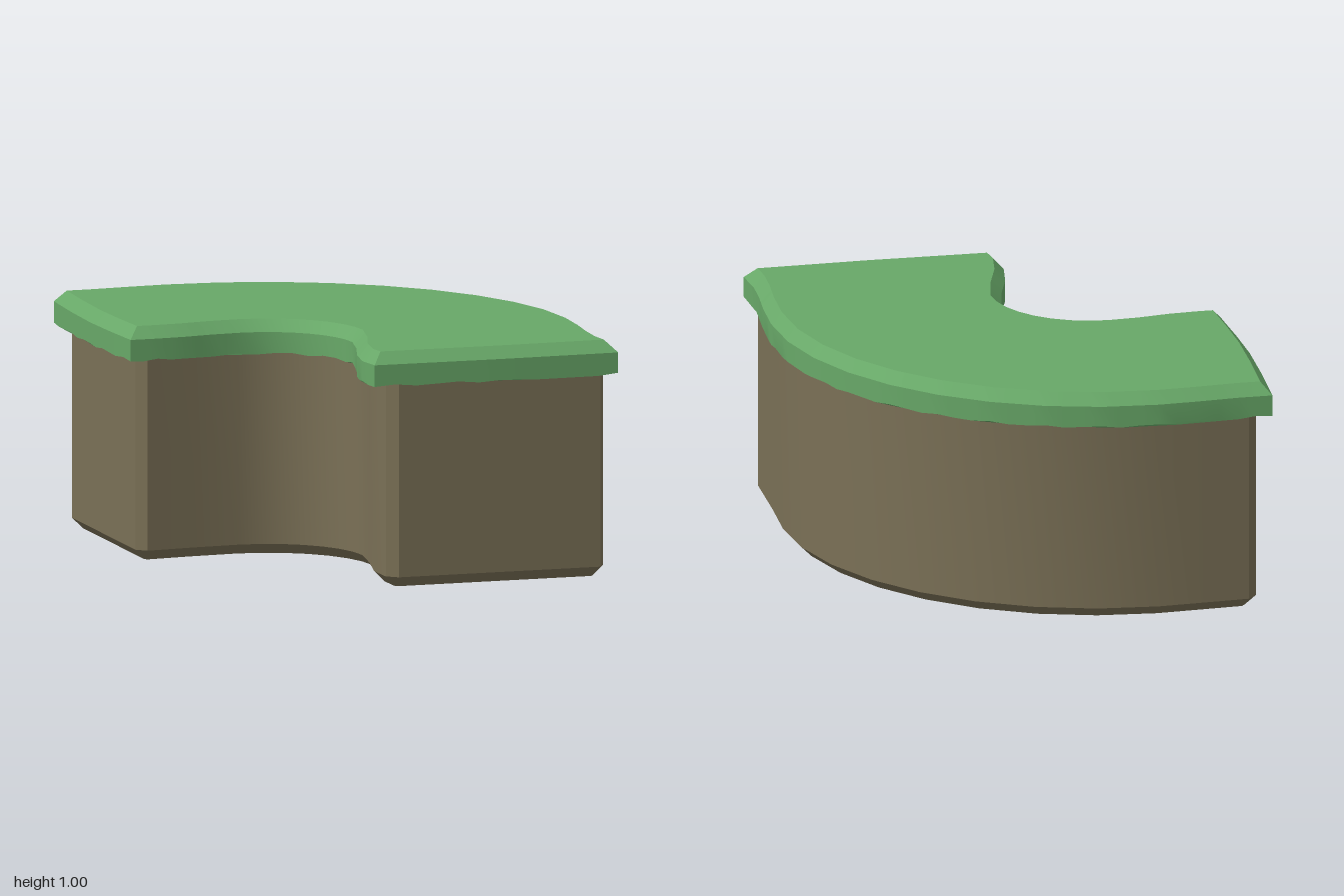
import * as THREE from 'three';
import { toCreasedNormals } from 'three/addons/utils/BufferGeometryUtils.js';

// Points [x, z] on an arc, angles in degrees (0 = +x, 90 = back)
function arc(cx, cz, r, from, to, steps) {
  return Array.from({ length: steps + 1 }, (_, i) => {
    const a = THREE.MathUtils.degToRad(from + (to - from) * i / steps);
    return [cx + r * Math.cos(a), cz - r * Math.sin(a)];
  });
}

// Split long edges so that the hem can ripple
function subdivide(points, maxLength) {
  return points.flatMap((p, i) => {
    const q = points[(i + 1) % points.length];
    const n = Math.ceil(Math.hypot(q[0] - p[0], q[1] - p[1]) / maxLength);
    return Array.from({ length: n }, (_, k) => [
      p[0] + (q[0] - p[0]) * k / n, p[1] + (q[1] - p[1]) * k / n]);
  });
}

// Move an outline inward by a mitred distance
function inset(points, d) {
  const n = points.length;
  const normal = (a, b) => {
    const l = Math.hypot(b[0] - a[0], b[1] - a[1]);
    return [(b[1] - a[1]) / l, (a[0] - b[0]) / l];
  };
  return points.map((p, i) => {
    const u = normal(points[(i + n - 1) % n], p);
    const v = normal(p, points[(i + 1) % n]);
    const k = d / (1 + u[0] * v[0] + u[1] * v[1]);
    return [p[0] - (u[0] + v[0]) * k, p[1] - (u[1] + v[1]) * k];
  });
}

// Closed solid through stacked rings, each ring a list of [x, y, z], bottom first
function loft(rings) {
  const out = [];
  const n = rings[0].length;
  for (let r = 0; r + 1 < rings.length; r++) {
    for (let i = 0; i < n; i++) {
      const j = (i + 1) % n;
      const a = rings[r][i], b = rings[r][j], c = rings[r + 1][j], d = rings[r + 1][i];
      out.push(...a, ...d, ...c, ...a, ...c, ...b);
    }
  }
  const cap = (ring, up) => {
    const flat = ring.map(p => new THREE.Vector2(p[0], p[2]));
    for (const [i, j, k] of THREE.ShapeUtils.triangulateShape(flat, [])) {
      const a = flat[i], b = flat[j], c = flat[k];
      const facesUp = (b.x - a.x) * (c.y - a.y) - (b.y - a.y) * (c.x - a.x) < 0;
      const order = facesUp === up ? [i, j, k] : [i, k, j];
      order.forEach(v => out.push(...ring[v]));
    }
  };
  cap(rings[0], false);
  cap(rings[rings.length - 1], true);
  const geometry = new THREE.BufferGeometry();
  geometry.setAttribute('position', new THREE.Float32BufferAttribute(out, 3));
  return toCreasedNormals(geometry, 0.5);
}

const atHeight = (points, y) => points.map(([x, z]) => [x, y, z]);

function addPart(group, name, geometry, color) {
  const mesh = new THREE.Mesh(geometry, new THREE.MeshStandardMaterial({ color }));
  mesh.name = name;
  group.add(mesh);
}

export function createModel() {
  const group = new THREE.Group();
  group.name = 'curvedGrassBlock';

  // Earth body: curved block with cut corners and a chamfered foot
  const earth = [
    [-0.87, -0.89], [-0.83, -0.935], [-0.64, -0.945],
    ...arc(-0.44, 0.37, 1.325, 90, 0, 8),
    [0.875, 0.62], [0.87, 0.94], [0.845, 0.98],
    [-0.04, 0.98], [-0.085, 0.94], [-0.09, 0.8], [-0.04, 0.58],
    ...arc(-0.42, 0.39, 0.41, 0, 90, 7),
    [-0.62, -0.01], [-0.83, 0.01], [-0.87, -0.03],
  ];
  addPart(group, 'earthBody', loft([
    atHeight(inset(earth, 0.045), 0),
    atHeight(earth, 0.045),
    atHeight(earth, 0.88),
  ]), 0x7a7056);

  // Grass cap: flared ends, bevelled top edge and a rippled hem
  const grass = subdivide([
    [-0.92, -0.98], [-0.78, -0.98], [-0.6, -0.993],
    ...arc(-0.43, 0.365, 1.365, 90, 0, 9),
    [0.927, 0.56], [0.912, 0.72], [0.907, 0.85], [0.92, 0.99],
    [0.4, 0.998], [-0.15, 0.99],
    [-0.165, 0.87], [-0.14, 0.72], [-0.09, 0.56],
    ...arc(-0.425, 0.395, 0.37, 0, 90, 8),
    [-0.55, 0.032], [-0.68, 0.052], [-0.8, 0.06], [-0.92, 0.06],
    [-0.935, -0.2], [-0.942, -0.42], [-0.935, -0.7],
  ], 0.1);
  const hem = grass.map(([x, z], i) => [x, 0.86 + 0.005 * Math.sin(i * 2.2), z]);
  addPart(group, 'grassCap', loft([
    hem,
    atHeight(grass, 0.95),
    atHeight(inset(grass, 0.045), 1),
  ]), 0x68a868);

  return group;
}
